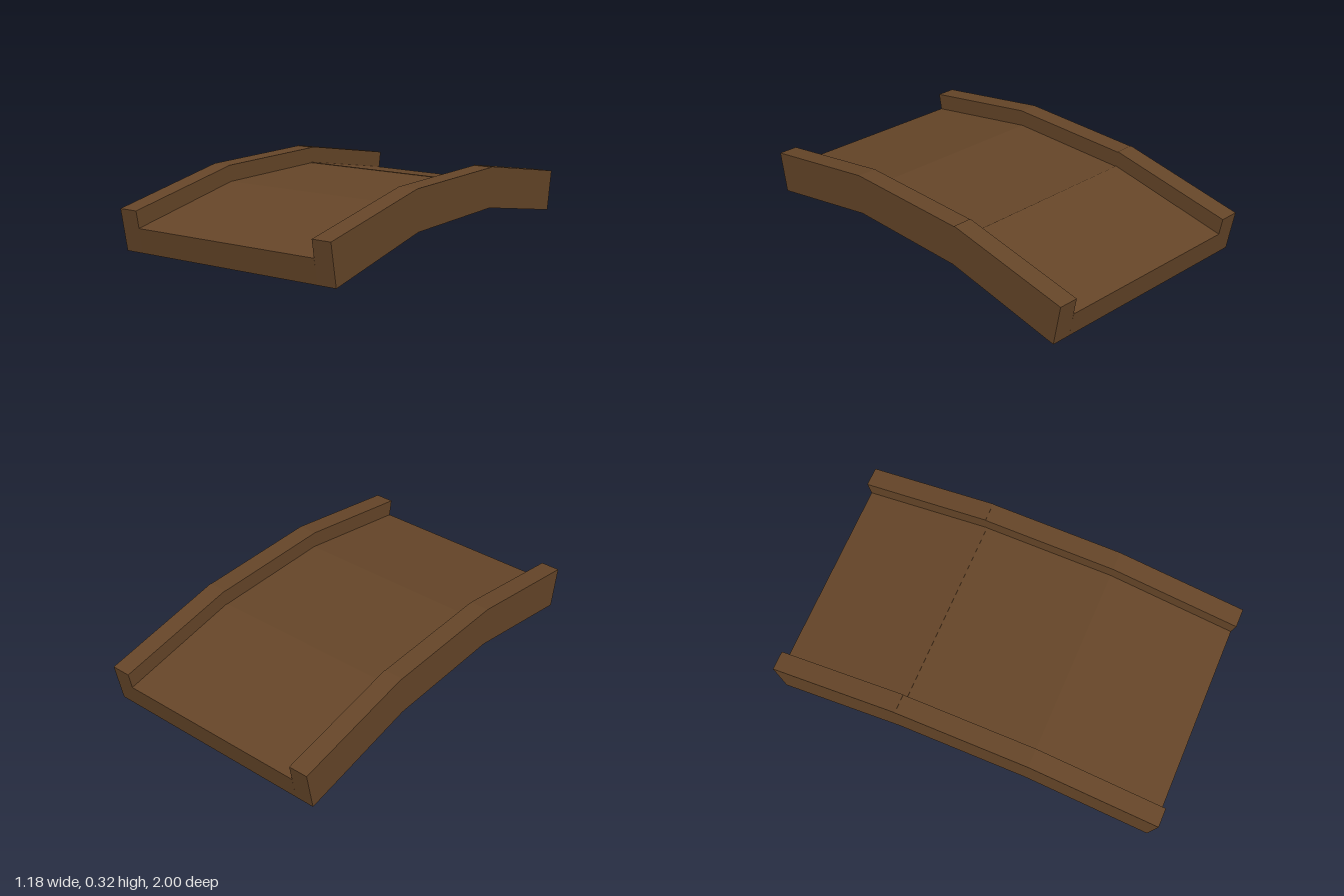
import * as THREE from 'three';

const wood = new THREE.MeshStandardMaterial({ color: 0x654528, flatShading: true });

// Extrude a side profile of [z, y] points across the width, centred on x
function slab(name, profile, width, x) {
  const shape = new THREE.Shape(profile.map(([z, y]) => new THREE.Vector2(z, y)));
  const geometry = new THREE.ExtrudeGeometry(shape, { depth: width, bevelEnabled: false });
  geometry.translate(0, 0, -width / 2);
  geometry.rotateY(-Math.PI / 2);
  const mesh = new THREE.Mesh(geometry, wood);
  mesh.name = name;
  mesh.position.x = x;
  return mesh;
}

// Arched profile: ramp, level middle, ramp; the rear ramp sits a hair proud
function archProfile(endZ, endY, bendZ, bendY) {
  const step = 0.003;
  return [
    [-0.963, step], [-0.328, 0.12], [0.328, 0.12], [0.963, 0],
    [endZ, endY], [bendZ, bendY],
    [-bendZ, bendY], [-bendZ, bendY + step], [-endZ, endY + step],
  ];
}

export function createModel() {
  const bridge = new THREE.Group();
  bridge.name = 'bridge';

  // Walking surface
  bridge.add(slab('deck', archProfile(0.985, 0.12, 0.333, 0.238), 0.986, 0));

  // Raised side beams
  for (const side of [-1, 1]) {
    const name = side > 0 ? 'leftRail' : 'rightRail';
    bridge.add(slab(name, archProfile(1, 0.204, 0.34, 0.32), 0.097, side * 0.5415));
  }
  return bridge;
}
